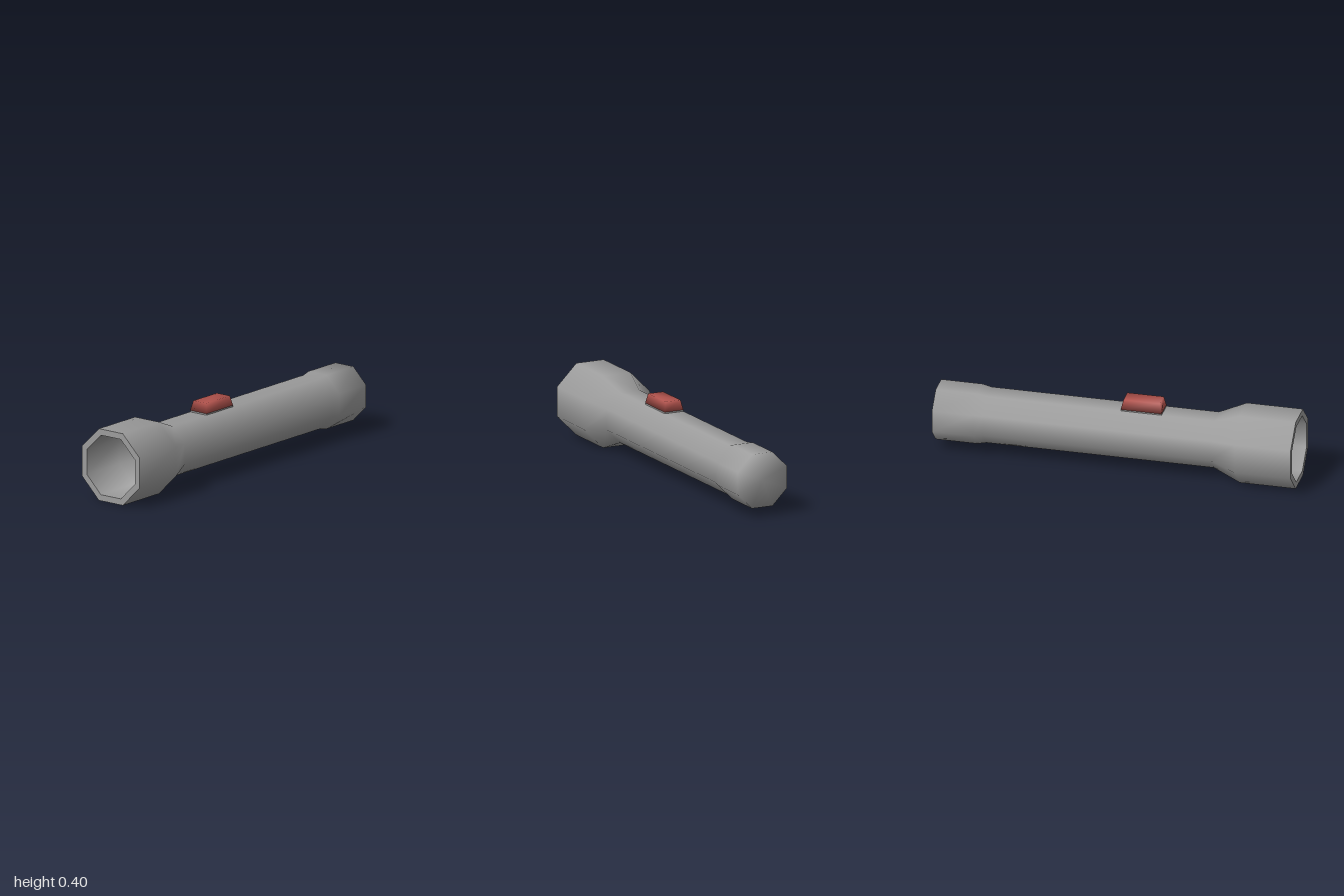
import * as THREE from 'three';
import { mergeVertices } from 'three/addons/utils/BufferGeometryUtils.js';

const SIDES = 8;
const AXIS_Y = 0.2;
const CORNER = 1 / Math.cos(Math.PI / SIDES); // flat-to-corner radius ratio

// Octagonal solid of revolution along x, from [x, radius to flat] pairs
function turned(name, profile, material) {
  const points = profile.map(([x, r]) => new THREE.Vector2(r * CORNER, x));
  const geometry = new THREE.LatheGeometry(points, SIDES, Math.PI / SIDES);
  geometry.rotateZ(-Math.PI / 2);
  geometry.translate(0, AXIS_Y, 0);
  const mesh = new THREE.Mesh(geometry, material);
  mesh.name = name;
  return mesh;
}

// Box whose top is narrowed by the given insets
function taperedBox(w, h, d, insetX, insetZ) {
  const geometry = new THREE.BoxGeometry(w, h, d);
  const p = geometry.attributes.position;
  for (let i = 0; i < p.count; i++) {
    if (p.getY(i) < 0) continue;
    p.setX(i, p.getX(i) - Math.sign(p.getX(i)) * insetX);
    p.setZ(i, p.getZ(i) - Math.sign(p.getZ(i)) * insetZ);
  }
  return geometry;
}

export function createModel() {
  const grey = new THREE.MeshStandardMaterial({ color: 0x9c9c9c });
  grey.name = 'greyCasing';
  const red = new THREE.MeshStandardMaterial({ color: 0xb0524c });
  red.name = 'redButton';

  const model = new THREE.Group();
  model.name = 'flashlight';

  // Head, neck, handle and rounded-shaded tail in one smooth shell
  model.add(turned('casing', [
    [-1, 0.2], [-0.69, 0.2], [-0.54, 0.14], [0.72, 0.14],
    [0.77, 0.15], [1, 0.15], [1, 0],
  ], grey));

  // Flat rim and the hollow inside the head
  model.add(turned('headRim', [[-1, 0.166], [-1, 0.2]], grey));
  model.add(turned('reflector', [[-0.72, 0], [-0.72, 0.166], [-1, 0.166]], grey));

  // Switch: thin base plate with a soft-shaded tapered button
  const base = new THREE.Mesh(new THREE.BoxGeometry(0.226, 0.014, 0.112), grey);
  base.name = 'switchBase';
  base.position.set(-0.137, 0.341, 0);
  model.add(base);

  const shape = taperedBox(0.226, 0.054, 0.114, 0.012, 0.012);
  shape.deleteAttribute('normal');
  shape.deleteAttribute('uv');
  const soft = mergeVertices(shape);
  soft.computeVertexNormals();
  const button = new THREE.Mesh(soft, red);
  button.name = 'switchButton';
  button.position.set(-0.137, 0.375, 0);
  model.add(button);

  return model;
}
